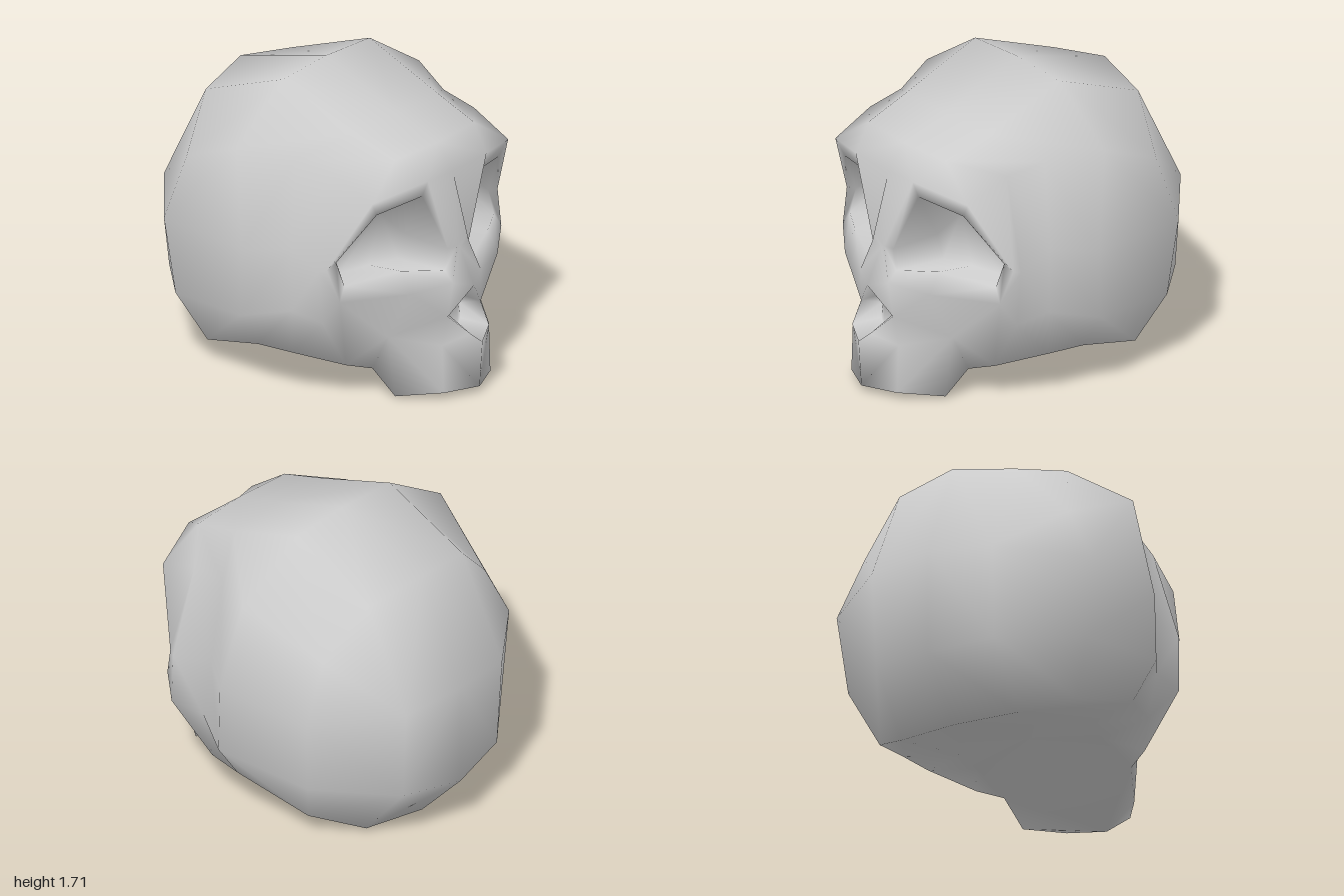
import * as THREE from 'three';
import { mergeVertices } from 'three/addons/utils/BufferGeometryUtils.js';

// Cranium: half cross-sections (crown to base, +x side), from the face rim to the back
const rim = [[0, 1.41, 0.68], [0.34, 1.41, 0.66], [0.6, 1.35, 0.44], [0.75, 0.83, 0.46],
  [0.74, 0.52, 0.48], [0.53, 0.2, 0.47], [0.4, 0.16, 0.55], [0, 0.14, 0.53]];
const temple = [[0, 1.51, 0.39], [0.36, 1.5, 0.38], [0.63, 1.38, 0.2], [0.7, 0.88, 0.22],
  [0.73, 0.53, 0.25], [0.69, 0.26, 0.22], [0.4, 0.21, 0.24], [0, 0.22, 0.22]];
const middle = [[0, 1.71, -0.11], [0.37, 1.69, -0.11], [0.78, 1.42, -0.1], [0.86, 0.87, 0],
  [0.87, 0.48, 0], [0.72, 0.26, 0], [0.4, 0.23, 0.08], [0, 0.25, 0.11]];
const rear = [[0, 1.54, -0.72], [0.37, 1.48, -0.66], [0.64, 1.2, -0.57], [0.8, 0.87, -0.6],
  [0.75, 0.42, -0.56], [0.62, 0.13, -0.44], [0.37, 0.02, -0.64], [0, 0, -0.71]];
const backPatch = [[0, 0.93, -1], [0.38, 0.9, -0.95], [0.37, 0.36, -0.92], [0, 0.32, -1]];

// Eye socket loops: outer brow and cheek edge, opening, deep end
const orbit = [[0.25, 1.3, 0.82], [0.58, 1.24, 0.7], [0.73, 0.84, 0.5], [0.69, 0.65, 0.56],
  [0.37, 0.66, 0.8], [0.12, 0.67, 0.89], [0.05, 0.86, 0.86]];
const opening = [[0.25, 1.2, 0.78], [0.52, 1.15, 0.68], [0.65, 0.86, 0.5], [0.64, 0.73, 0.55],
  [0.37, 0.78, 0.73], [0.12, 0.73, 0.83], [0.08, 0.84, 0.82]];
const socketEnd = [[0.27, 1.03, 0.5], [0.46, 1.02, 0.45], [0.57, 0.87, 0.41], [0.54, 0.74, 0.43],
  [0.35, 0.74, 0.48], [0.18, 0.74, 0.55], [0.14, 0.88, 0.56]];

// Nose half loops: edge and pit
const nose = [[0, 0.63, 0.94], [0.14, 0.47, 0.87], [0.08, 0.38, 0.98], [0, 0.31, 1]];
const pit = [[0, 0.55, 0.82], [0.07, 0.46, 0.78], [0.05, 0.38, 0.8], [0, 0.35, 0.82]];

// Face centre line, cheek and muzzle
const forehead = [0, 1.27, 0.79], glabella = [0, 0.93, 0.89], noseRoot = [0, 0.83, 0.84];
const cheek = [0.39, 0.37, 0.65], lip = [0.2, 0.32, 0.88];
const jaw = [[0, 0.04, 0.98], [0.2, 0.04, 0.89], [0.35, 0.01, 0.67]];

function createSkullGeometry() {
  const positions = [];
  const same = (a, b) => a.every((v, i) => v === b[i]);

  // Adds a polygon (clockwise from outside) as a fan, together with its mirror image
  const patch = (...p) => {
    for (let i = 1; i < p.length - 1; i++) {
      const [a, b, c] = [p[0], p[i], p[i + 1]];
      if (same(a, b) || same(b, c) || same(a, c)) continue;
      positions.push(...a, ...c, ...b);
      for (const [x, y, z] of [a, b, c]) positions.push(x === 0 ? 0 : -x, y, z);
    }
  };

  // Joins two loops with quads
  const loft = (a, b, closed = false) => {
    const n = a.length;
    for (let i = 0; i < (closed ? n : n - 1); i++) {
      const j = (i + 1) % n;
      patch(a[i], b[i], b[j], a[j]);
    }
  };

  // Cranium, closed by a rounded back
  const [A, B, C, D] = backPatch;
  const sections = [rim, temple, middle, rear, [A, B, B, B, C, C, C, D]];
  for (let i = 0; i < sections.length - 1; i++) loft(sections[i], sections[i + 1]);
  patch(A, D, C, B);

  // Eye sockets
  loft(opening, orbit, true);
  loft(socketEnd, opening, true);
  patch(...socketEnd);

  // Nose hole
  loft(pit, nose);
  patch(...pit);

  // Forehead and brow
  patch(rim[0], rim[1], orbit[0], forehead);
  patch(rim[1], rim[2], orbit[1], orbit[0]);
  patch(rim[2], rim[3], orbit[2], orbit[1]);

  // Nose bridge
  patch(forehead, orbit[0], orbit[6], glabella);
  patch(glabella, orbit[6], noseRoot);
  patch(noseRoot, orbit[6], orbit[5], nose[0]);

  // Cheek
  patch(rim[3], rim[4], orbit[3], orbit[2]);
  patch(rim[4], rim[5], orbit[3]);
  patch(orbit[3], rim[5], cheek, orbit[4]);
  patch(orbit[4], cheek, nose[1], orbit[5]);
  patch(orbit[5], nose[1], nose[0]);
  patch(rim[5], rim[6], cheek);

  // Muzzle and palate
  patch(rim[6], jaw[2], cheek);
  patch(cheek, jaw[2], jaw[1], lip);
  patch(lip, jaw[1], jaw[0], nose[3]);
  patch(lip, nose[3], nose[2]);
  patch(cheek, lip, nose[1]);
  patch(nose[1], lip, nose[2]);
  patch(...jaw, rim[6], rim[7]);

  const geometry = new THREE.BufferGeometry();
  geometry.setAttribute('position', new THREE.Float32BufferAttribute(positions, 3));
  const welded = mergeVertices(geometry, 1e-4);
  welded.computeVertexNormals();
  return welded;
}

export function createModel() {
  const group = new THREE.Group();
  group.name = 'skullModel';
  const skull = new THREE.Mesh(createSkullGeometry(), new THREE.MeshStandardMaterial({ color: 0xcccccc }));
  skull.name = 'skull';
  group.add(skull);
  return group;
}
